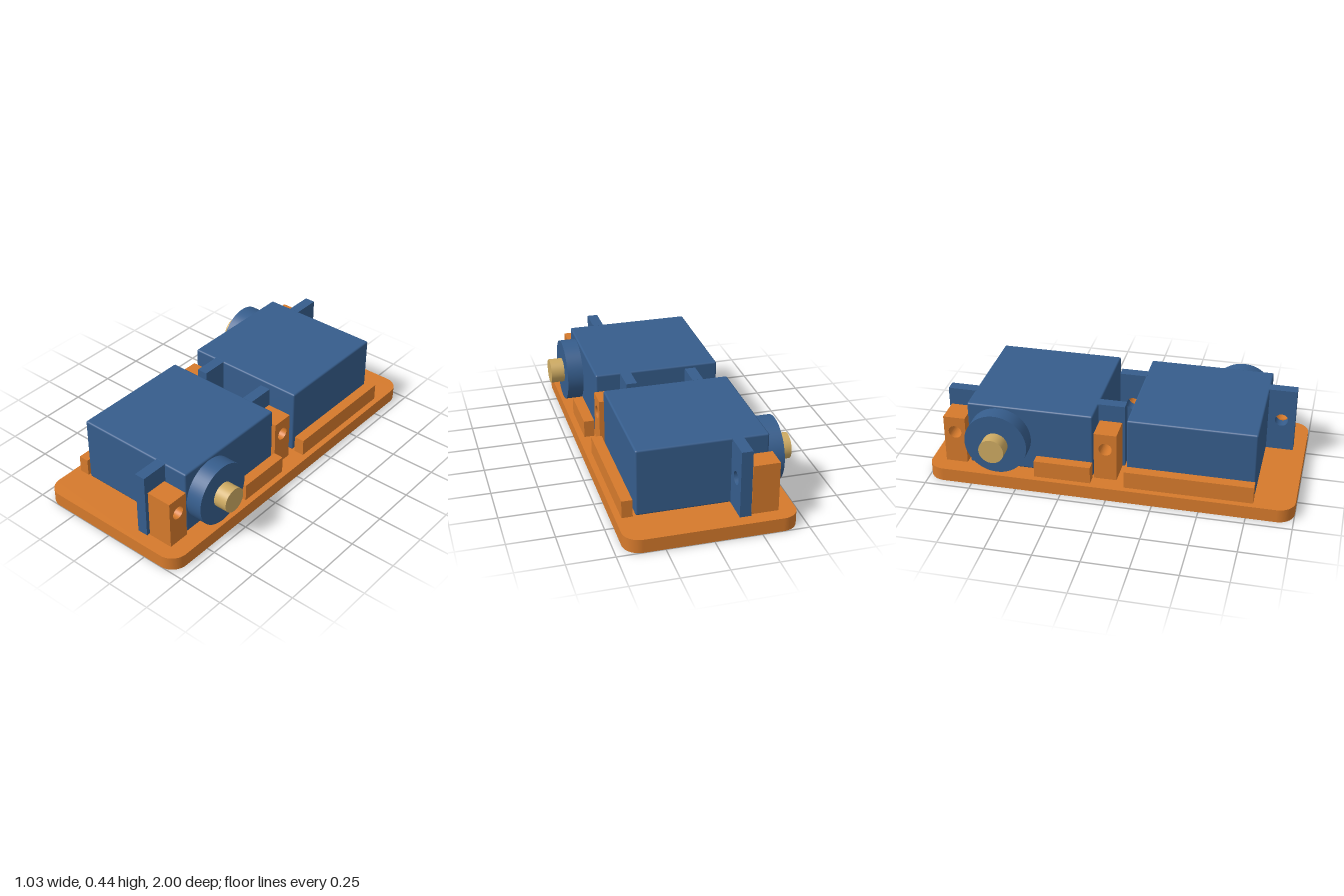
import * as THREE from 'three';
import { RoundedBoxGeometry } from 'three/addons/geometries/RoundedBoxGeometry.js';

const BASE_TOP = 0.075, AXIS_Y = 0.26;

function makeMaterial(name, color) {
  const m = new THREE.MeshStandardMaterial({ color });
  m.name = name;
  return m;
}

function addMesh(parent, name, geometry, material) {
  const mesh = new THREE.Mesh(geometry, material);
  mesh.name = name;
  parent.add(mesh);
  return mesh;
}

// Box given by its minimum and maximum on each axis
function boxBetween(x0, x1, y0, y1, z0, z1, radius = 0) {
  const size = [x1 - x0, y1 - y0, z1 - z0];
  const g = radius ? new RoundedBoxGeometry(...size, 3, radius) : new THREE.BoxGeometry(...size);
  return g.translate((x0 + x1) / 2, (y0 + y1) / 2, (z0 + z1) / 2);
}

// Upright plate with a screw hole running along x
function drilledPlate(x0, x1, y1, z0, z1, holeZ) {
  const s = new THREE.Shape();
  s.moveTo(-z1, BASE_TOP);
  s.lineTo(-z0, BASE_TOP);
  s.lineTo(-z0, y1);
  s.lineTo(-z1, y1);
  s.closePath();
  const hole = new THREE.Path();
  hole.absarc(-holeZ, AXIS_Y, 0.036, 0, Math.PI * 2, true);
  s.holes.push(hole);
  return new THREE.ExtrudeGeometry(s, { depth: x1 - x0, bevelEnabled: false, curveSegments: 32 })
    .rotateY(Math.PI / 2).translate(x0, 0, 0);
}

// Cylinder along x
function discBetween(x0, x1, radius, z) {
  return new THREE.CylinderGeometry(radius, radius, x1 - x0, 64)
    .rotateZ(Math.PI / 2).translate((x0 + x1) / 2, AXIS_Y, z);
}

// Rounded slab lying on the ground
function basePlate() {
  const w = 0.453, l = 1, r = 0.09;
  const s = new THREE.Shape();
  s.absarc(w - r, l - r, r, 0, Math.PI / 2);
  s.absarc(-w + r, l - r, r, Math.PI / 2, Math.PI);
  s.absarc(-w + r, -l + r, r, Math.PI, Math.PI * 1.5);
  s.absarc(w - r, -l + r, r, Math.PI * 1.5, Math.PI * 2);
  return new THREE.ExtrudeGeometry(s, { depth: BASE_TOP, bevelEnabled: false, curveSegments: 16 })
    .rotateX(-Math.PI / 2);
}

export function createModel() {
  const orange = makeMaterial('orange plastic', 0xd67a2c);
  const blue = makeMaterial('blue casing', 0x365d8c);
  const brass = makeMaterial('brass', 0xcdaa62);

  const model = new THREE.Group();
  model.name = 'twinServoMount';
  addMesh(model, 'basePlate', basePlate(), orange);

  // Two identical units, the second turned half way round
  for (const [name, turn] of [['frontUnit', 0], ['rearUnit', Math.PI]]) {
    const unit = new THREE.Group();
    unit.name = name;
    unit.rotation.y = turn;
    model.add(unit);

    // Servo motor
    addMesh(unit, 'servoBody', boxBetween(-0.347, 0.347, BASE_TOP, 0.444, 0.092, 0.783, 0.01), blue);
    addMesh(unit, 'outerMountingTab', drilledPlate(0.15, 0.21, 0.444, 0.775, 0.933, 0.858), blue);
    addMesh(unit, 'innerMountingTab', drilledPlate(0.15, 0.21, 0.444, -0.053, 0.1, 0.021), blue);
    addMesh(unit, 'gearBoss', discBetween(0.34, 0.437, 0.172, 0.606), blue);
    addMesh(unit, 'outputShaft', discBetween(0.43, 0.513, 0.069, 0.606), brass);

    // Screw posts and side rails on the base
    addMesh(unit, 'outerScrewPost', drilledPlate(0.217, 0.36, 0.35, 0.798, 0.919, 0.858), orange);
    addMesh(unit, 'innerScrewPost', drilledPlate(0.217, 0.36, 0.35, -0.04, 0.084, 0.021), orange);
    addMesh(unit, 'longRail', boxBetween(-0.42, -0.362, BASE_TOP, 0.171, 0.092, 0.783), orange);
    addMesh(unit, 'shortRail', boxBetween(0.362, 0.42, BASE_TOP, 0.171, 0.092, 0.402), orange);
  }
  return model;
}
